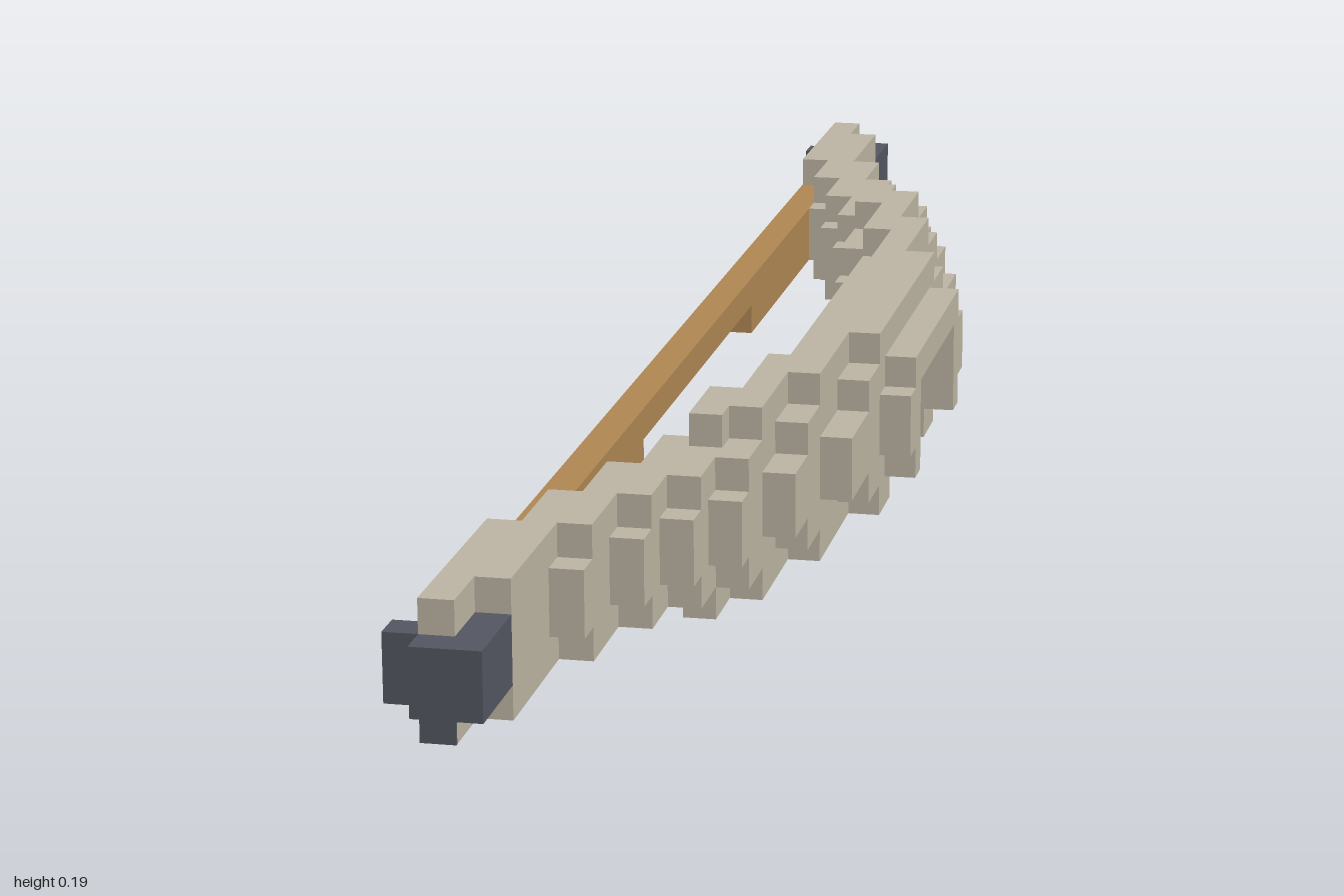
import * as THREE from 'three';

const V = 2 / 63; // size of one block

export function createModel() {
  const model = new THREE.Group();
  const mat = (name, color) => {
    const m = new THREE.MeshStandardMaterial({ color });
    m.name = name;
    return m;
  };
  const bone = mat('pale bone', 0xbeb7a5);
  const iron = mat('dark iron', 0x545862);
  const cord = mat('tan cord', 0xb28854);

  // Box between block coordinates
  function block(parent, name, material, x0, x1, y0, y1, z0, z1) {
    const g = new THREE.BoxGeometry((x1 - x0) * V, (y1 - y0) * V, (z1 - z0) * V);
    const mesh = new THREE.Mesh(g, material);
    mesh.position.set((x0 + x1) / 2 * V, (y0 + y1) / 2 * V, (z0 + z1) / 2 * V);
    mesh.name = name;
    parent.add(mesh);
  }

  // Stepped limb columns: x, then the z span of the core, shoulder and cap rows
  const columns = [
    { x: 4, core: [0, 5.5], shoulder: [0, 4.5] },
    { x: 3, core: [0, 10.5], shoulder: [0, 7.5], cap: [0, 5.5] },
    { x: 2, core: [0, 14.5], shoulder: [0, 12.5], cap: [0, 10.5] },
    { x: 1, core: [0, 17.5], shoulder: [0, 16.5], cap: [8.5, 14.5] },
    { x: 0, core: [8.5, 19.5], shoulder: [9.5, 18.5], cap: [12.5, 15.5] },
    { x: -1, core: [13.5, 21.5], shoulder: [14.5, 20.5] },
    { x: -2, core: [16.5, 24.5], shoulder: [17.5, 23.5] },
    { x: -3, core: [19.5, 28.5], shoulder: [20.5, 28.5] },
    { x: -4, shoulder: [23.5, 30.5] },
  ];
  const rows = { core: [[2, 4]], shoulder: [[1, 2], [4, 5]], cap: [[0, 1], [5, 6]] };
  const GAP = 3.5; // half length of the hand opening below the grip

  for (const side of [1, -1]) {
    const limb = new THREE.Group();
    limb.name = side > 0 ? 'frontLimb' : 'backLimb';
    const put = (name, m, x0, x1, y0, y1, a, b) =>
      block(limb, name, m, x0, x1, y0, y1, Math.min(a * side, b * side), Math.max(a * side, b * side));

    for (const c of columns) {
      for (const kind of ['core', 'shoulder', 'cap']) {
        if (!c[kind]) continue;
        for (const [y0, y1] of rows[kind]) {
          const start = y0 < 4 ? Math.max(GAP, c[kind][0]) : c[kind][0];
          // the lower cap reaches one block further out
          const end = c.x === 0 && y0 === 0 ? 16.5 : c[kind][1];
          put('limbStep', bone, c.x, c.x + 1, y0, y1, start, end);
        }
      }
    }

    // Metal nock at the tip
    put('tip', iron, -4, -2, 2, 4, 28.5, 31.5);
    put('nock', iron, -5, -4, 2, 4, 29.5, 30.5);
    // Lower half of the string, outside the middle
    put('stringEnd', cord, -4, -3, 2, 3, 8.5, 28.5);
    model.add(limb);
  }

  // Upper half of the string runs the whole length
  block(model, 'string', cord, -4, -3, 3, 4, -28.5, 28.5);
  // Dark face under the front tip
  block(model, 'tipPlate', iron, -4, -3, 1, 2, 30.5, 30.6);
  return model;
}
